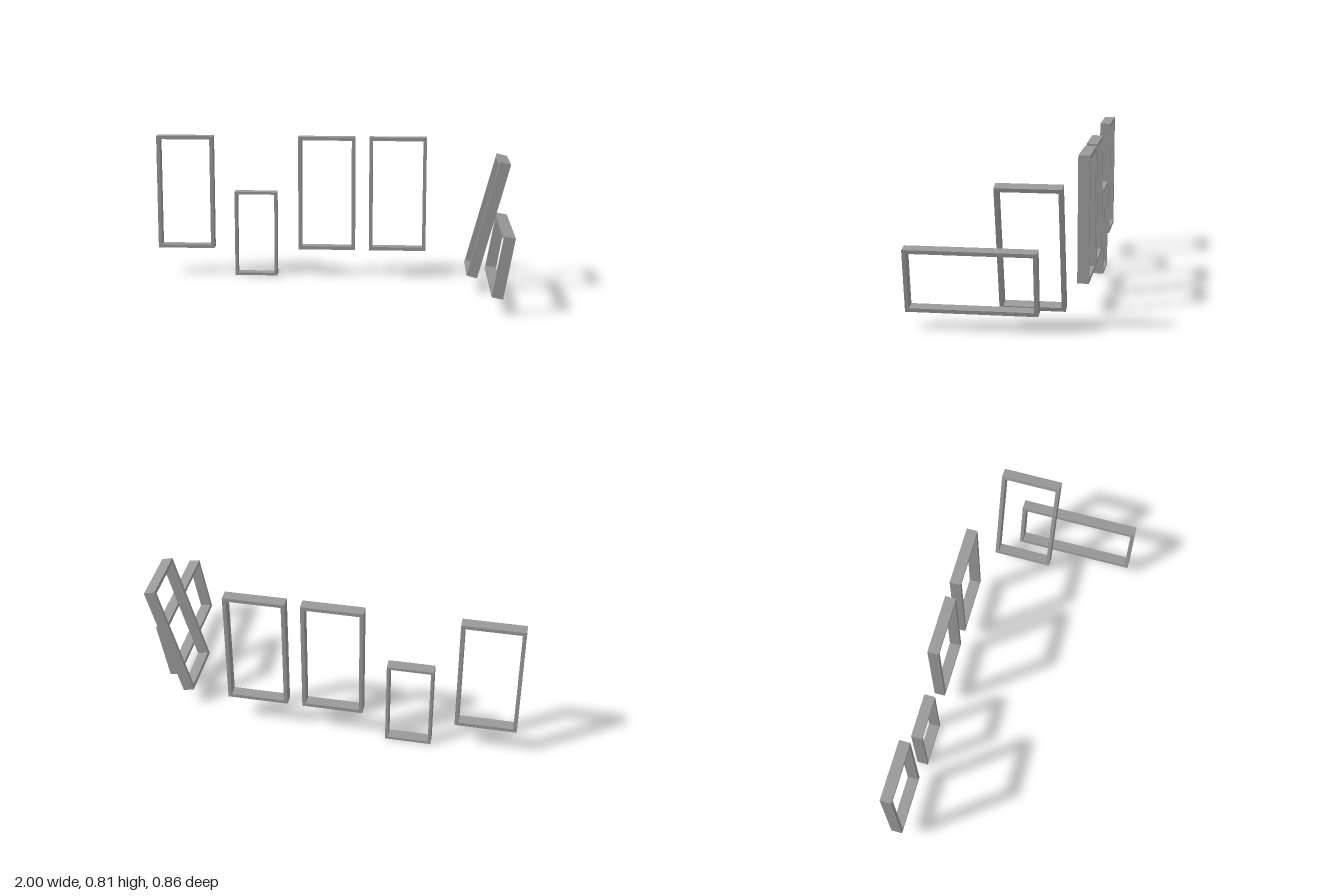
import * as THREE from 'three';

const DEPTH = 0.06;
const WIDTH = 0.326, HEIGHT = 0.655, BAR = 0.0195;

// Rectangular frame centred on its origin, facing z
function makeFrame(name, scale, material) {
  const w = WIDTH * scale / 2, h = HEIGHT * scale / 2, b = BAR * scale;
  const rect = (path, x, y) =>
    path.moveTo(-x, -y).lineTo(x, -y).lineTo(x, y).lineTo(-x, y).closePath();
  const shape = rect(new THREE.Shape(), w, h);
  shape.holes.push(rect(new THREE.Path(), w - b, h - b));
  const geometry = new THREE.ExtrudeGeometry(shape, { depth: DEPTH, bevelEnabled: false });
  geometry.translate(0, 0, -DEPTH / 2);
  const mesh = new THREE.Mesh(geometry, material);
  mesh.name = name;
  return mesh;
}

export function createModel() {
  const model = new THREE.Group();
  model.name = 'frames';
  const material = new THREE.MeshStandardMaterial({ color: 0x999999 });

  // Row of upright frames along the back: name, x, y, scale
  const upright = [
    ['rightFrame', -0.837, 0.485, 1],
    ['smallFrame', -0.43, 0.2456, 0.75],
    ['middleFrame', -0.02, 0.485, 1],
    ['leftFrame', 0.387, 0.485, 1],
  ];
  for (const [name, x, y, scale] of upright) {
    const frame = makeFrame(name, scale, material);
    frame.position.set(x, y, -0.4);
    model.add(frame);
  }

  // Frames leaning toward the left side: name, position, lean, spin in own plane
  const leaning = [
    ['tallLeaningFrame', [0.886, 0.41, -0.182], 15, 0],
    ['sidewaysLeaningFrame', [0.941, 0.251, 0.102], 10, 90],
  ];
  for (const [name, position, lean, spin] of leaning) {
    const frame = makeFrame(name, 1, material);
    frame.rotation.z = THREE.MathUtils.degToRad(spin);
    const turned = new THREE.Group();
    turned.rotation.y = Math.PI / 2;
    turned.add(frame);
    const holder = new THREE.Group();
    holder.name = name + 'Holder';
    holder.rotation.z = -THREE.MathUtils.degToRad(lean);
    holder.position.set(...position);
    holder.add(turned);
    model.add(holder);
  }
  return model;
}
